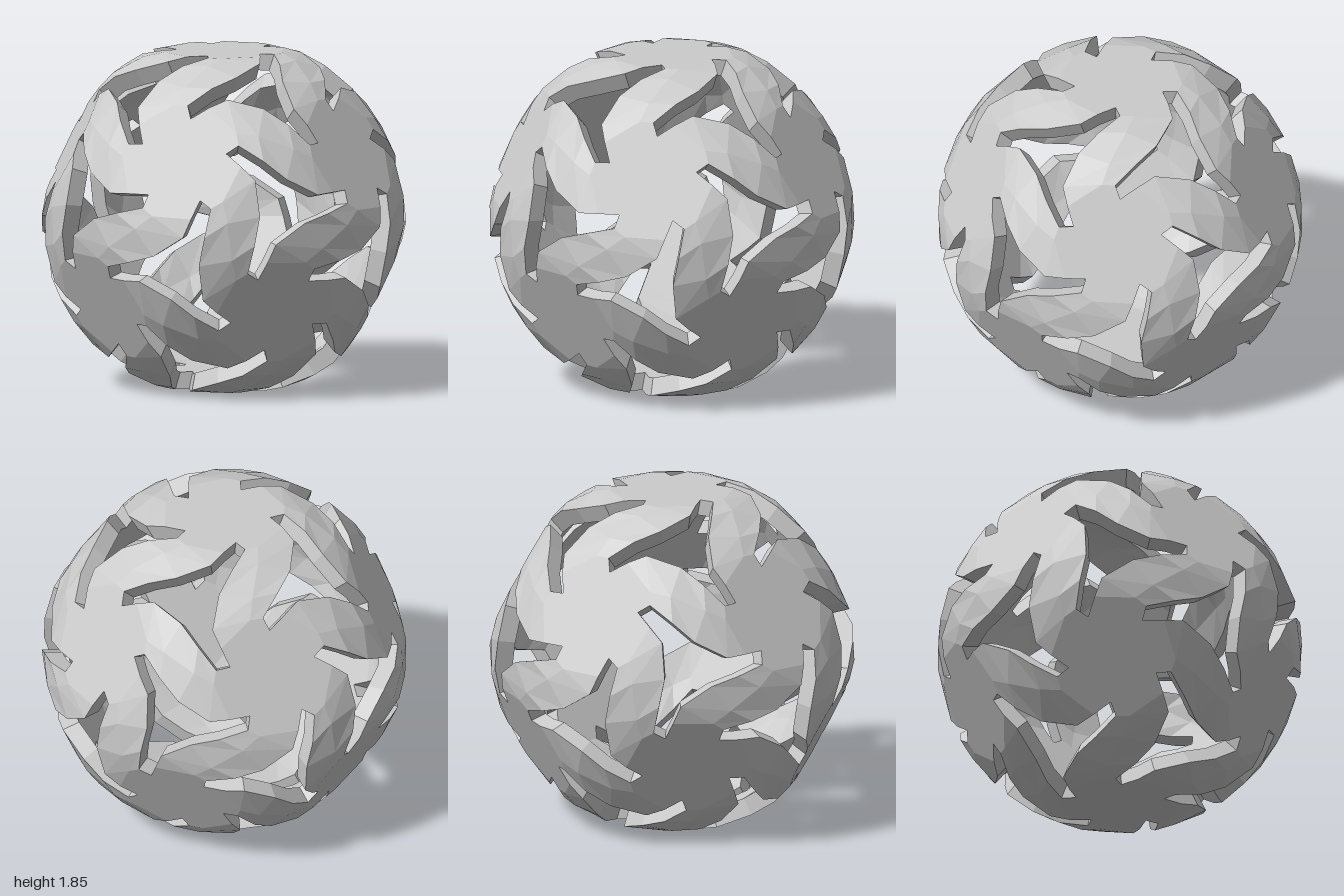
import * as THREE from 'three';

const FLAT = 0.925;   // distance of the flat hubs from the centre
const R = 1.0;        // radius of the arms
const INNER = 0.9;    // inner skin as a fraction of the outer one

// One arm of the three-armed opening, in the plane of a face (u points to the hub)
const SLOT = { d: [0.05, -0.14], b: [0.355, -0.2], a: [0.4, -0.137], c: [0.204, -0.055] };

export function createModel() {
  const group = new THREE.Group();
  group.name = 'openworkBall';
  const material = new THREE.MeshStandardMaterial({ color: 0xcccccc, flatShading: true });

  // Twelve hub directions: two poles and two rings of five
  const hubs = [new THREE.Vector3(0, 1, 0), new THREE.Vector3(0, -1, 0)];
  for (let k = 0; k < 5; k++) {
    for (const s of [1, -1]) {
      const t = THREE.MathUtils.degToRad(72 * k + (s > 0 ? 0 : 36));
      hubs.push(new THREE.Vector3(2 * Math.cos(t), s, 2 * Math.sin(t)).normalize());
    }
  }
  const adjacent = (p, q) => Math.abs(p.dot(q) - Math.sqrt(0.2)) < 0.01;

  // Sphere with the area around each hub cut flat
  const onShell = (v) => {
    const dir = v.clone().normalize();
    const cos = Math.max(...hubs.map((h) => h.dot(dir)));
    return dir.multiplyScalar(Math.min(R, FLAT / cos));
  };
  const mid = (p, q) => onShell(p.clone().add(q));

  // Corner of the opening in face (h, k, l), on the slot that runs to hub h
  const corner = (h, k, l, key) => {
    const n = h.clone().add(k).add(l).normalize();
    const e1 = h.clone().addScaledVector(n, -h.dot(n)).normalize();
    const e2 = n.clone().cross(e1);
    const [u, v] = SLOT[key];
    return onShell(n.multiplyScalar(Math.sqrt(0.97 - u * u - v * v)).addScaledVector(e1, u).addScaledVector(e2, v));
  };

  // Collects outer skin, inner skin and walls of one part
  const makePart = () => {
    const data = [];
    const tri = (...pts) => pts.forEach((p) => data.push(p.x, p.y, p.z));
    const inn = (p) => p.clone().multiplyScalar(INNER);
    return {
      skin(p, q, r) { tri(p, q, r); tri(inn(p), inn(r), inn(q)); },
      wall(p, q) { tri(q, p, inn(p)); tri(q, inn(p), inn(q)); },
      finish(name) {
        const g = new THREE.BufferGeometry();
        g.setAttribute('position', new THREE.Float32BufferAttribute(data, 3));
        g.computeVertexNormals();
        const mesh = new THREE.Mesh(g, material);
        mesh.name = name;
        mesh.position.y = FLAT;
        group.add(mesh);
      },
    };
  };

  const hubParts = hubs.map(makePart);
  const centres = hubs.map(onShell);

  // Thirty bent arms, one between each pair of neighbouring hubs
  hubs.forEach((h, i) => hubs.forEach((k, j) => {
    if (j <= i || !adjacent(h, k)) return;
    const thirds = hubs.filter((l) => adjacent(l, h) && adjacent(l, k));
    const side = h.clone().cross(k);
    const A = thirds.find((l) => side.dot(l) < 0);
    const B = thirds.find((l) => side.dot(l) > 0);
    const left = [corner(h, k, A, 'b'), corner(h, k, A, 'd'), corner(k, h, A, 'c'), corner(k, h, A, 'a')];
    const right = [corner(h, k, B, 'a'), corner(h, k, B, 'c'), corner(k, h, B, 'd'), corner(k, h, B, 'b')];
    for (const s of [left, right]) {
      s.splice(3, 0, mid(s[2], s[3]));
      s.splice(1, 0, mid(s[0], s[1]));
    }
    const middle = left.map((p, n) => mid(p, right[n]));
    const arm = makePart();
    for (let n = 0; n < left.length - 1; n++) {
      for (const [p, q] of [[left, middle], [middle, right]]) {
        arm.skin(p[n], p[n + 1], q[n + 1]);
        arm.skin(p[n], q[n + 1], q[n]);
      }
      arm.wall(left[n], left[n + 1]);
      arm.wall(right[n + 1], right[n]);
    }
    arm.finish('arm');

    // Hub sectors that meet the two ends of the arm
    const e = left.length - 1;
    hubParts[i].skin(centres[i], left[0], middle[0]);
    hubParts[i].skin(centres[i], middle[0], right[0]);
    hubParts[j].skin(centres[j], right[e], middle[e]);
    hubParts[j].skin(centres[j], middle[e], left[e]);
  }));

  // Hub sectors that close the slot tips
  hubs.forEach((h, i) => {
    hubs.forEach((k, m) => hubs.forEach((l, n) => {
      if (n <= m || !adjacent(h, k) || !adjacent(h, l) || !adjacent(k, l)) return;
      const a = corner(h, k, l, 'a');
      const b = corner(h, k, l, 'b');
      hubParts[i].skin(centres[i], a, b);
      hubParts[i].wall(a, b);
    }));
    hubParts[i].finish('hub');
  });

  return group;
}
